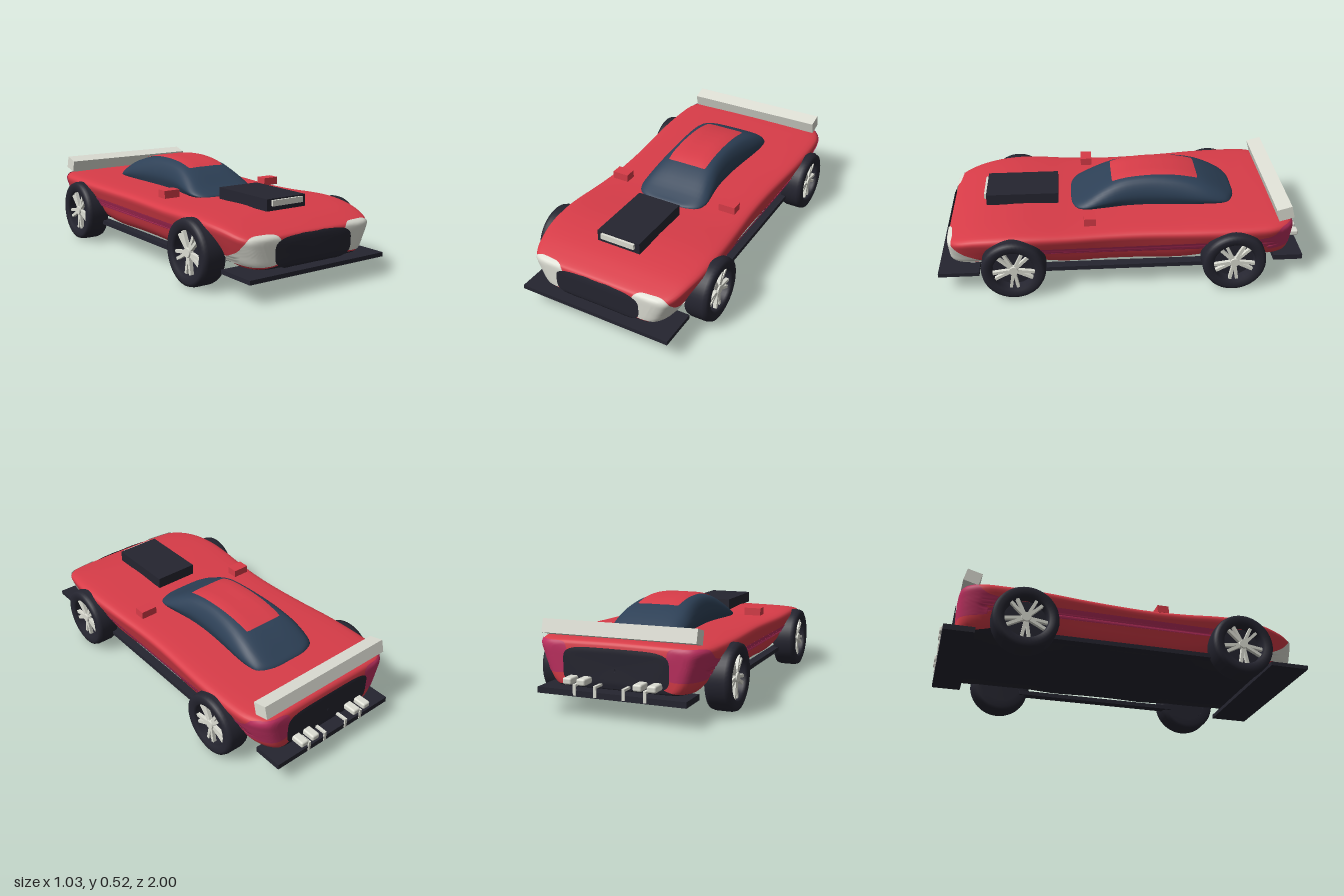
import * as THREE from 'three';
import { RoundedBoxGeometry } from 'three/addons/geometries/RoundedBoxGeometry.js';

const flat = (name, color, side = THREE.FrontSide) => {
  const m = new THREE.MeshStandardMaterial({ color, side });
  m.name = name;
  return m;
};

// Skin over half cross-sections (top centre to bottom centre), mirrored in x.
// Columns from control point floorFrom onward use the second material.
function loft(halves, perPoint, perStation, floorFrom) {
  const rows = halves.map(pts => {
    const curve = new THREE.CatmullRomCurve3(pts);
    const half = curve.getPoints((pts.length - 1) * perPoint);
    const mirror = half.slice(1, -1).reverse().map(p => new THREE.Vector3(-p.x, p.y, p.z));
    return [...half, ...mirror];
  });
  const n = rows[0].length, count = (rows.length - 1) * perStation;
  const pos = new Float32Array((count + 1) * n * 3);
  for (let j = 0; j < n; j++) {
    const line = new THREE.CatmullRomCurve3(rows.map(r => r[j])).getPoints(count);
    line.forEach((p, i) => p.toArray(pos, (i * n + j) * 3));
  }
  const upper = [], lower = [];
  const edge = floorFrom * perPoint;
  for (let i = 0; i < count; i++) {
    for (let j = 0; j < n; j++) {
      const k = (j + 1) % n;
      const a = i * n + j, b = i * n + k, c = b + n, d = a + n;
      (j >= edge && j < n - edge ? lower : upper).push(a, b, c, a, c, d);
    }
  }
  const g = new THREE.BufferGeometry();
  g.setAttribute('position', new THREE.BufferAttribute(pos, 3));
  g.setIndex([...upper, ...lower]);
  g.addGroup(0, upper.length, 0);
  g.addGroup(upper.length, lower.length, 1);
  g.computeVertexNormals();
  return g;
}

// Thin rounded patch laid on a surface by projecting a superellipse along an axis.
function patch(target, axis, cx, cy, hw, hh, power, lift) {
  const rings = 14, segs = 64, pos = [], index = [];
  const ray = new THREE.Raycaster();
  const place = { front: (x, y) => [x, y, 3], back: (x, y) => [x, y, -3], top: (x, y) => [x, 3, y] }[axis];
  const dir = { front: [0, 0, -1], back: [0, 0, 1], top: [0, -1, 0] }[axis];
  for (let i = 0; i <= rings; i++) {
    for (let j = 0; j < segs; j++) {
      const t = j / segs * Math.PI * 2, c = Math.cos(t), s = Math.sin(t);
      let r = Math.max(i / rings, 0.001) / (Math.abs(c) ** power + Math.abs(s) ** power) ** (1 / power);
      let hit;
      for (let tries = 0; tries < 60 && !hit; tries++, r *= 0.98) {
        ray.set(new THREE.Vector3(...place(cx + hw * r * c, cy + hh * r * s)), new THREE.Vector3(...dir));
        hit = ray.intersectObject(target)[0];
      }
      const p = hit ? hit.point.addScaledVector(hit.face.normal, lift) : new THREE.Vector3(cx, cy, 0);
      pos.push(p.x, p.y, p.z);
      if (i < rings) {
        const k = (j + 1) % segs, a = i * segs + j, b = i * segs + k;
        const tri = [a, a + segs, b + segs, a, b + segs, b];
        index.push(...(axis === 'front' ? tri : tri.reverse()));
      }
    }
  }
  const g = new THREE.BufferGeometry();
  g.setAttribute('position', new THREE.Float32BufferAttribute(pos, 3));
  g.setIndex(index);
  g.computeVertexNormals();
  return g;
}

export function createModel() {
  const car = new THREE.Group();
  car.name = 'sportsCar';
  const red = flat('red paint', 0xd83c48, THREE.DoubleSide);
  const dark = flat('dark trim', 0x252530, THREE.DoubleSide);
  const glass = flat('blue glass', 0x2d4056, THREE.DoubleSide);
  const pale = flat('pale metal', 0xdcddd3, THREE.DoubleSide);
  const tail = flat('tail light magenta', 0xbe3060, THREE.DoubleSide);

  const add = (name, geometry, material, x = 0, y = 0, z = 0, parent = car) => {
    const m = new THREE.Mesh(geometry, material);
    m.name = name;
    m.position.set(x, y, z);
    parent.add(m);
    return m;
  };
  const box = (name, material, w, h, d, x, y, z, parent) =>
    add(name, new THREE.BoxGeometry(w, h, d), material, x, y, z, parent);

  // Body: stations are z, half width, top, bottom
  const bodyStations = [
    [0.948, 0, 0.21, 0.21], [0.946, 0.25, 0.27, 0.145], [0.94, 0.34, 0.287, 0.135],
    [0.925, 0.38, 0.296, 0.13], [0.88, 0.415, 0.312, 0.126], [0.8, 0.44, 0.335, 0.125],
    [0.7, 0.46, 0.352, 0.125], [0.58, 0.468, 0.362, 0.125], [0.45, 0.466, 0.36, 0.125],
    [0.3, 0.455, 0.353, 0.125], [0.1, 0.442, 0.352, 0.125], [-0.1, 0.443, 0.356, 0.125],
    [-0.3, 0.455, 0.36, 0.125], [-0.45, 0.466, 0.365, 0.125], [-0.6, 0.47, 0.369, 0.125],
    [-0.72, 0.468, 0.371, 0.125], [-0.8, 0.46, 0.372, 0.125], [-0.87, 0.43, 0.37, 0.128],
    [-0.905, 0.395, 0.363, 0.132], [-0.918, 0.35, 0.345, 0.14], [-0.92, 0, 0.25, 0.25]];
  const bodyProfile = [[0, 1], [0.5, 0.99], [0.85, 0.97], [0.97, 0.93], [1, 0.85], [0.975, 0.68],
    [0.92, 0.4, 0.03], [0.87, 0.17, 0.06], [0.8, 0.03, 0.07], [0.7, 0], [0, 0]];
  const body = add('body', loft(bodyStations.map(([z, w, top, bot]) => {
    // lower edge rises around the wheels
    const arch = Math.exp(-(((Math.abs(z) - 0.59) / 0.13) ** 2));
    return bodyProfile.map(([fx, fy, up = 0]) =>
      new THREE.Vector3(fx * w, bot + fy * (top - bot) + up * arch, z));
  }), 3, 3, 8), [red, dark]);

  // Cabin: stations are z, half width, top
  const cabinStations = [
    [0.275, 0.05, 0.35], [0.268, 0.12, 0.36], [0.24, 0.18, 0.373], [0.19, 0.205, 0.398],
    [0.1, 0.2, 0.452], [0, 0.186, 0.495], [-0.1, 0.181, 0.512], [-0.2, 0.184, 0.516],
    [-0.33, 0.196, 0.505], [-0.45, 0.208, 0.475], [-0.54, 0.205, 0.434], [-0.6, 0.185, 0.4],
    [-0.635, 0.12, 0.378], [-0.643, 0.04, 0.36]];
  const cabinProfile = [[0, 1], [0.5, 0.99], [0.78, 0.9], [0.93, 0.68], [1, 0.4], [0.95, 0.15], [0.88, 0], [0, 0]];
  const cabin = add('cabin', loft(cabinStations.map(([z, w, top]) =>
    cabinProfile.map(([fx, fy]) => new THREE.Vector3(fx * w, 0.34 + fy * (top - 0.34), z))), 3, 3, 7), [glass, glass]);

  // Painted panels
  add('roofPanel', patch(cabin, 'top', 0, -0.192, 0.117, 0.237, 40, 0.004), red);
  add('grille', patch(body, 'front', 0, 0.205, 0.245, 0.077, 4, 0.008), dark);
  add('rearPanel', patch(body, 'back', 0, 0.24, 0.28, 0.095, 5, 0.008), dark);
  for (const s of [1, -1]) {
    add('headlight', patch(body, 'front', s * 0.3, 0.222, 0.098, 0.073, 4, 0.005), pale);
    add('tailLight', patch(body, 'back', s * 0.36, 0.275, 0.095, 0.078, 6, 0.004), tail);
    add('mirror', new THREE.BoxGeometry(0.094, 0.042, 0.064), red, s * 0.338, 0.384, 0.178);
    box('sideSkirt', dark, 0.05, 0.024, 0.96, s * 0.395, 0.119, 0);
  }

  // Splitter, diffuser, hood scoop and wing
  box('frontSplitter', dark, 0.864, 0.022, 0.22, 0, 0.111, 0.89);
  box('rearDiffuser', dark, 0.784, 0.03, 0.16, 0, 0.118, -0.91);
  box('hoodScoop', dark, 0.25, 0.062, 0.397, 0, 0.388, 0.543);
  box('scoopIntake', pale, 0.196, 0.03, 0.03, 0, 0.397, 0.74);
  const wing = box('rearWing', pale, 0.82, 0.07, 0.082, 0, 0.411, -0.864);
  wing.rotation.x = 0.27;

  // Exhaust tips and diffuser fins
  for (const s of [1, -1]) {
    for (const x of [0.148, 0.222])
      add('exhaustTip', new RoundedBoxGeometry(0.048, 0.034, 0.1, 3, 0.01), pale, s * x, 0.176, -0.95);
    for (const x of [0.075, 0.185]) {
      box('finTop', pale, 0.015, 0.012, 0.08, s * x, 0.158, -0.954);
      box('finDrop', pale, 0.015, 0.055, 0.008, s * x, 0.136, -0.991);
    }
  }

  // Wheels: tyre lathe, brake disc, hub and five forked spokes
  const tyre = new THREE.LatheGeometry([
    [0.112, -0.067], [0.15, -0.067], [0.166, -0.06], [0.172, -0.04], [0.172, 0.04],
    [0.166, 0.06], [0.15, 0.067], [0.12, 0.064], [0.112, 0.05], [0.112, -0.067],
  ].map(p => new THREE.Vector2(...p)), 48);
  const disc = new THREE.CylinderGeometry(0.112, 0.112, 0.07, 32);
  const hub = new THREE.CylinderGeometry(0.024, 0.028, 0.024, 20);
  const spoke = new THREE.BoxGeometry(0.016, 0.02, 0.092);
  for (const s of [1, -1]) for (const z of [0.59, -0.59]) {
    const wheel = new THREE.Group();
    wheel.name = 'wheel';
    wheel.position.set(s * 0.448, 0.172, z);
    wheel.rotation.z = -s * Math.PI / 2;
    car.add(wheel);
    add('tyre', tyre, dark, 0, 0, 0, wheel);
    add('brakeDisc', disc, dark, 0, -0.03, 0, wheel);
    add('hub', hub, pale, 0, 0.044, 0, wheel);
    for (let i = 0; i < 5; i++) for (const side of [-1, 1]) {
      const arm = new THREE.Group();
      arm.name = 'spokeArm';
      arm.rotation.y = (i / 5) * Math.PI * 2 + side * 0.17 + s * Math.PI / 2;
      arm.position.y = 0.038;
      wheel.add(arm);
      add('spoke', spoke, pale, 0, 0, 0.066, arm);
    }
  }
  return car;
}
